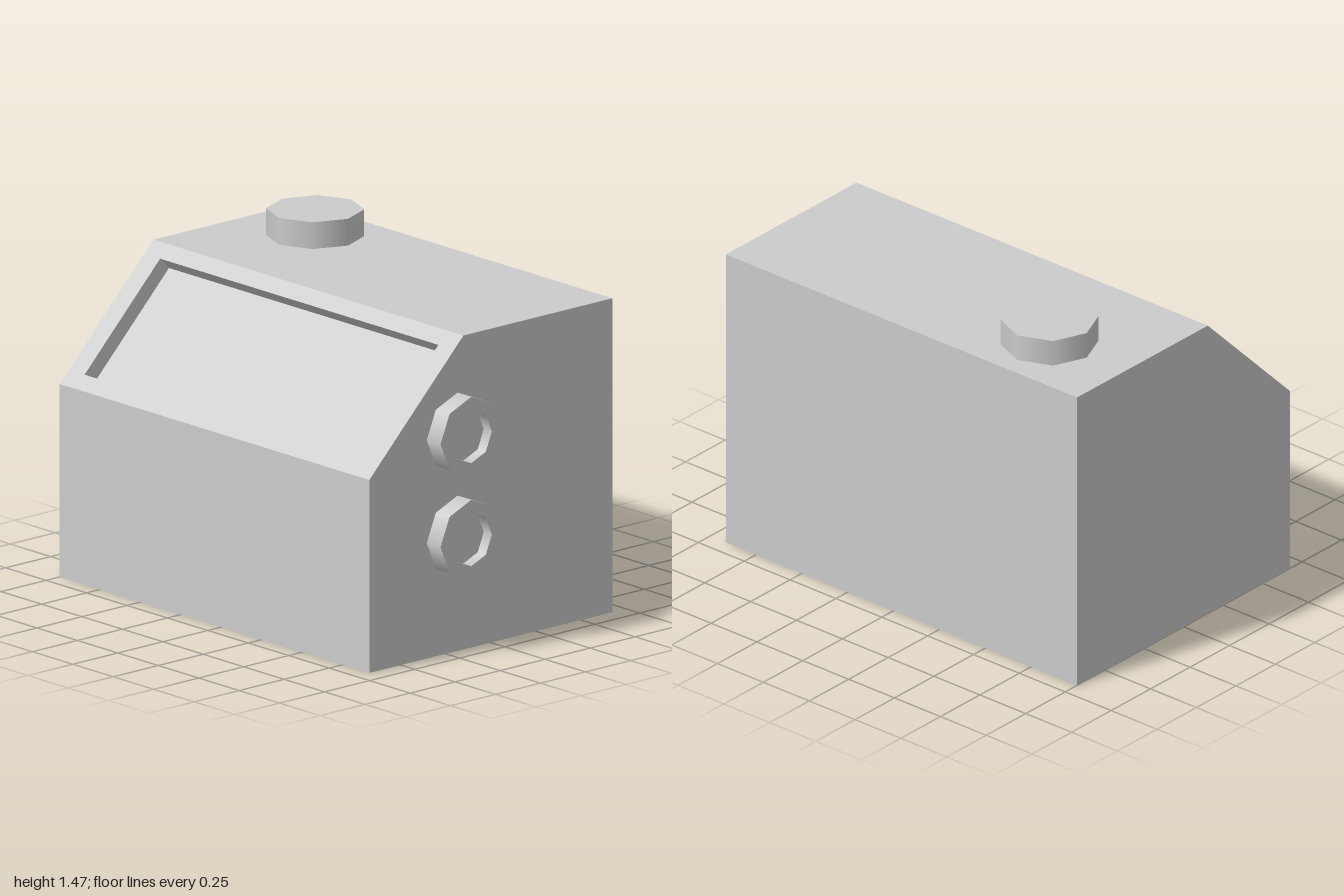
import * as THREE from 'three';

const material = new THREE.MeshStandardMaterial({ color: 0xcccccc });
const sheet = new THREE.MeshStandardMaterial({ color: 0xcccccc, side: THREE.DoubleSide });

function add(parent, name, geometry, mat = material) {
  const mesh = new THREE.Mesh(geometry, mat);
  mesh.name = name;
  parent.add(mesh);
  return mesh;
}

// Flat rectangle given its size, centre and rotation
function panel(parent, name, w, h, [x, y, z], [rx, ry] = [0, 0]) {
  const mesh = add(parent, name, new THREE.PlaneGeometry(w, h), sheet);
  mesh.position.set(x, y, z);
  mesh.rotation.set(rx, ry, 0);
  return mesh;
}

export function createModel() {
  const model = new THREE.Group();
  model.name = 'console';
  const X0 = -1, X1 = 0.915, W = X1 - X0, CX = (X0 + X1) / 2;
  const H = 1.35, D = 0.675, slopeY = 0.83, slopeZ = 0.153;
  const Q = Math.PI / 2;

  // Thin-walled housing, open underneath
  const housing = new THREE.Group();
  housing.name = 'housing';
  model.add(housing);
  panel(housing, 'frontWall', W, slopeY, [CX, slopeY / 2, D]);
  panel(housing, 'backWall', W, H, [CX, H / 2, -D], [0, Math.PI]);
  panel(housing, 'topWall', W, slopeZ + D, [CX, H, (slopeZ - D) / 2], [-Q, 0]);

  // Side walls: profile drawn in (-z, y), turned to face +x
  const profile = new THREE.Shape([
    [-D, 0], [D, 0], [D, H], [-slopeZ, H], [-D, slopeY],
  ].map(([a, b]) => new THREE.Vector2(a, b)));
  for (const [name, x] of [['leftWall', X1], ['rightWall', X0]]) {
    const geometry = new THREE.ShapeGeometry(profile);
    if (x < 0) { // mirror the winding so the front faces -x
      geometry.scale(1, 1, -1);
      geometry.setIndex([...geometry.index.array].reverse());
    }
    const wall = add(housing, name, geometry, sheet);
    wall.rotation.y = Q;
    wall.position.x = x;
  }

  // Sloping face: frame around a shallow recessed screen
  const slope = new THREE.Group();
  slope.name = 'slopingFace';
  slope.position.set(CX, (H + slopeY) / 2, (D + slopeZ) / 2);
  slope.rotation.x = -Math.atan2(D - slopeZ, H - slopeY);
  model.add(slope);
  const hw = W / 2, hh = Math.hypot(D - slopeZ, H - slopeY) / 2;
  const sw = 0.86, sh = 0.296, depth = 0.07;
  const rect = (Type, a, b) => new Type([[-a, -b], [a, -b], [a, b], [-a, b]]
    .map(([x, y]) => new THREE.Vector2(x, y)));
  const frame = rect(THREE.Shape, hw, hh);
  frame.holes.push(rect(THREE.Path, sw, sh));
  add(slope, 'screenFrame', new THREE.ShapeGeometry(frame), sheet);
  panel(slope, 'screen', 2 * sw, 2 * sh, [0, 0, -depth]);
  for (const s of [1, -1]) {
    panel(slope, 'recessEdge', 2 * sw, depth, [0, s * sh, -depth / 2], [s * Q, 0]);
    panel(slope, 'recessEnd', depth, 2 * sh, [s * sw, 0, -depth / 2], [0, -s * Q]);
  }

  // Eight-sided button on top
  const button = add(model, 'topButton', new THREE.CylinderGeometry(0.203, 0.203, 0.115, 8));
  button.position.set(-0.6, H + 0.0575, -0.385);

  // Two eight-sided sockets on the side, each with a sunken centre
  const R = 0.171, r = 0.114, T = 0.085, sunk = 0.05;
  for (const y of [0.94, 0.497]) {
    const socket = new THREE.Group();
    socket.name = 'sideSocket';
    socket.position.set(X1, y, 0.185);
    socket.rotation.z = -Q;
    model.add(socket);
    add(socket, 'outerWall', new THREE.CylinderGeometry(R, R, T, 8, 1, true)).position.y = T / 2;
    const rim = add(socket, 'rim', new THREE.RingGeometry(r, R, 8));
    rim.position.y = T;
    rim.rotation.x = -Q;
    add(socket, 'innerWall', new THREE.CylinderGeometry(r, r, sunk, 8, 1, true), sheet)
      .position.y = T - sunk / 2;
    const floor = add(socket, 'floor', new THREE.CircleGeometry(r, 8));
    floor.position.y = T - sunk;
    floor.rotation.x = -Q;
  }
  return model;
}
